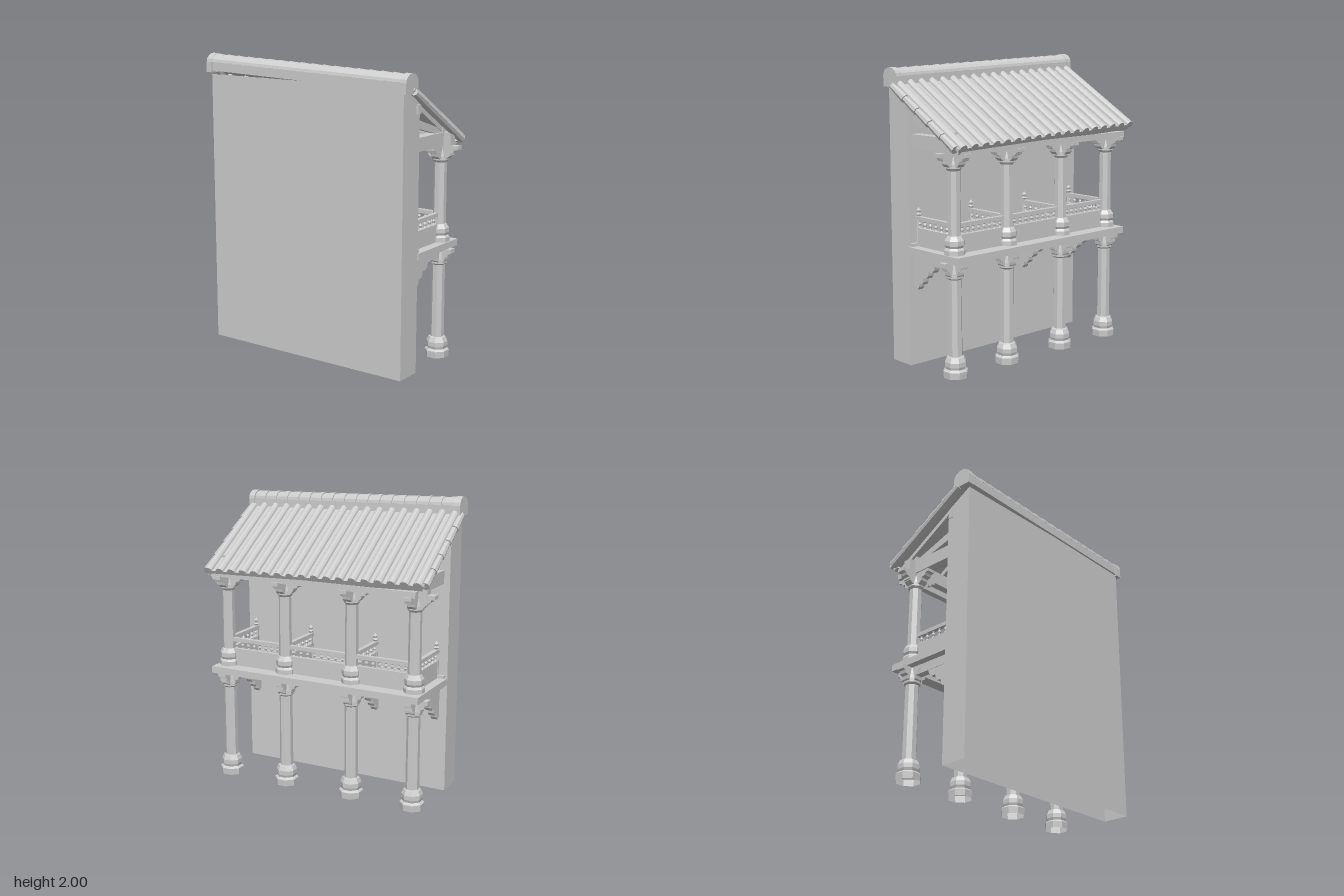
import * as THREE from 'three';

const stone = new THREE.MeshStandardMaterial({ color: 0xcccccc, flatShading: true, side: THREE.DoubleSide });
stone.name = 'pale grey';

function add(parent, name, geometry, x = 0, y = 0, z = 0) {
  const mesh = new THREE.Mesh(geometry, stone);
  mesh.name = name;
  mesh.position.set(x, y, z);
  parent.add(mesh);
  return mesh;
}

function group(parent, name, x = 0, y = 0, z = 0) {
  const g = new THREE.Group();
  g.name = name;
  g.position.set(x, y, z);
  parent.add(g);
  return g;
}

const box = (w, h, d) => new THREE.BoxGeometry(w, h, d);
const lathe = (pts, sides = 8) =>
  new THREE.LatheGeometry(pts.map(([r, y]) => new THREE.Vector2(r, y)), sides).rotateY(Math.PI / 8);

// Outline in (z, y), extruded along x and centred on it
function sideProfile(pts, width) {
  const shape = new THREE.Shape(pts.map(([z, y]) => new THREE.Vector2(z, y)));
  return new THREE.ExtrudeGeometry(shape, { depth: width, bevelEnabled: false })
    .rotateY(-Math.PI / 2).translate(width / 2, 0, 0);
}

// Crossed, stepped arms on top of a column
function crossCapital(parent, x, y, z, reach, height) {
  const g = group(parent, 'capital', x, y, z);
  const half = [[0.4, 0], [0.55, 0.2], [0.58, 0.42], [0.78, 0.5], [0.82, 0.68], [1, 0.74], [1, 1]]
    .map(([r, h]) => [r * reach, h * height]);
  const outline = [...half, ...half.map(([r, h]) => [-r, h]).reverse()];
  const geometry = sideProfile(outline, 0.055);
  add(g, 'capitalArm', geometry);
  add(g, 'capitalArm', geometry).rotation.y = Math.PI / 2;
}

// Solid panel, small balusters and handrail, running along x
function balustrade(parent, length, count, x, z, turn = 0) {
  const g = group(parent, 'balustrade', x, 0.8, z);
  g.rotation.y = turn;
  add(g, 'railPanel', box(length, 0.12, 0.025), 0, 0.06, 0);
  add(g, 'handrail', box(length, 0.026, 0.03), 0, 0.182, 0);
  const geometry = lathe([[0.011, 0], [0.006, 0.012], [0.012, 0.026], [0.006, 0.04], [0.011, 0.05]], 6);
  for (let i = 0; i < count; i++) {
    add(g, 'baluster', geometry, ((i + 0.5) / count - 0.5) * length, 0.12, 0);
  }
}

function buildWall(model) {
  const geometry = box(1.542, 1.86, 0.185).translate(0, 0.93, 0);
  const p = geometry.attributes.position;
  for (let i = 0; i < p.count; i++) {
    if (p.getY(i) > 1 && p.getZ(i) < 0) p.setY(i, 1.76);
  }
  // the underside is open
  const index = Array.from(geometry.index.array);
  index.splice(18, 6);
  geometry.setIndex(index);
  geometry.clearGroups();
  add(model, 'wall', geometry, -0.005, 0, 0.267);
}

function buildVeranda(model) {
  const columnX = [-0.7, -0.25, 0.25, 0.7];
  const cz = -0.2;

  add(model, 'floorSlab', box(1.55, 0.046, 0.49), 0, 0.777, -0.068);
  add(model, 'wallSkirting', box(1.52, 0.02, 0.03), 0, 0.81, 0.165);
  add(model, 'floorEdgeBeam', box(1.45, 0.03, 0.05), 0, 0.74, cz);

  const lower = lathe([[0.08, 0], [0.083, 0.045], [0.066, 0.058], [0.072, 0.075], [0.072, 0.105],
    [0.058, 0.135], [0.046, 0.14], [0.044, 0.64], [0.056, 0.65], [0.056, 0.68], [0.046, 0.75]]);
  const upper = lathe([[0.07, 0.8], [0.07, 0.83], [0.058, 0.845], [0.066, 0.86], [0.066, 0.89],
    [0.05, 0.915], [0.044, 0.92], [0.042, 1.33], [0.054, 1.345], [0.054, 1.37], [0.044, 1.42]]);
  const bracket = sideProfile([[0.175, 0.52], [0.15, 0.51], [0.135, 0.53], [0.13, 0.555], [0.105, 0.55],
    [0.09, 0.57], [0.085, 0.6], [0.055, 0.6], [0.04, 0.62], [0.035, 0.645], [0, 0.645],
    [-0.02, 0.665], [-0.03, 0.695], [0.175, 0.695]], 0.045);
  const post = lathe([[0.016, 0.8], [0.014, 1.0], [0.02, 1.01], [0.011, 1.02], [0.018, 1.035], [0, 1.055]], 6);

  for (const x of columnX) {
    add(model, 'lowerColumn', lower, x, 0, cz);
    add(model, 'upperColumn', upper, x, 0, cz);
    crossCapital(model, x, 0.65, cz, 0.105, 0.105);
    crossCapital(model, x, 1.355, cz, 0.14, 0.09);
    add(model, 'roofStrut', box(0.06, 0.14, 0.06), x, 1.5, cz);
    balustrade(model, 0.33, 6, x, 0.01, Math.PI / 2);
    add(model, 'railPost', post, x, 0, 0.155);
    add(model, 'floorJoist', box(0.05, 0.062, 0.46), x, 0.724, -0.055);
    if (x !== 0.25) add(model, 'wallBracket', bracket, x);
  }
  for (let i = 0; i < 3; i++) {
    const span = columnX[i + 1] - columnX[i];
    balustrade(model, span - 0.08, 8, columnX[i] + span / 2, cz);
  }

  // Beams tying the column heads together and back to the wall
  add(model, 'headBeam', box(1.56, 0.09, 0.05), 0, 1.485, cz);
  add(model, 'eavePurlin', box(1.5, 0.04, 0.045), 0, 1.46, -0.305);
  add(model, 'wallPurlin', box(1.56, 0.06, 0.035), 0, 1.72, 0.195);
  for (const side of [-1, 1]) {
    add(model, 'tieBeam', box(0.07, 0.09, 0.375), side * 0.7, 1.485, -0.012);
    add(model, 'slopingStrut', sideProfile([[0.175, 1.6], [0.175, 1.66], [-0.17, 1.55], [-0.17, 1.51]], 0.04), side * 0.7);
    add(model, 'beamEnd', box(0.035, 0.15, 0.055), side * 0.77, 1.455, cz);
  }
}

function buildRoof(model) {
  const roof = group(model, 'roof', 0, 1.9, 0);
  roof.rotation.z = -0.03;

  // Tiled slope: -z runs down towards the eave
  const slope = group(roof, 'roofSlope', 0, 0.014, 0.27);
  slope.rotation.x = -0.54;
  add(slope, 'roofDeck', box(1.6, 0.022, 0.745), 0, -0.043, -0.372);
  const rib = new THREE.CylinderGeometry(0.03, 0.027, 0.747, 6, 1, false, -Math.PI / 2, Math.PI).rotateX(-Math.PI / 2);
  for (let i = 0; i < 18; i++) {
    add(slope, 'tileRib', rib, -0.765 + i * 0.09, -0.033, -0.375);
  }
  const rafter = box(0.03, 0.03, 0.66);
  for (let i = 0; i < 11; i++) add(slope, 'rafter', rafter, -0.72 + i * 0.144, -0.068, -0.4);
  add(slope, 'eaveBoard', box(1.56, 0.03, 0.03), 0, -0.066, -0.72);

  // Overlapping tiles down both sloping edges
  const verge = new THREE.CylinderGeometry(0.03, 0.022, 0.15, 8).rotateX(-Math.PI / 2);
  for (const side of [-1, 1]) {
    for (let i = 0; i < 5; i++) add(slope, 'vergeTile', verge, side * 0.797, -0.055, -0.09 - i * 0.138);
  }

  // Ridge: base band, overlapping barrel tiles and end caps
  add(roof, 'ridgeBase', box(1.57, 0.06, 0.122), -0.003, -0.008, 0.312);
  const barrel = (r1, r2, length) => new THREE.CylinderGeometry(r2, r1, length, 8, 1, false, Math.PI, Math.PI)
    .rotateZ(-Math.PI / 2).scale(1, 0.8, 1);
  const tile = barrel(0.066, 0.058, 0.089);
  for (let i = 0; i < 17; i++) add(roof, 'ridgeTile', tile, -0.717 + i * 0.089, 0.02, 0.312);
  const cap = barrel(0.069, 0.069, 0.044);
  for (const x of [-0.783, 0.773]) {
    add(roof, 'ridgeCap', cap, x, 0.02, 0.312);
    add(roof, 'ridgeCapBase', box(0.044, 0.07, 0.138), x, -0.015, 0.312);
  }
}

export function createModel() {
  const root = new THREE.Group();
  root.name = 'verandaFacade';
  const model = group(root, 'building');
  model.rotation.y = -0.039;
  buildWall(model);
  buildVeranda(model);
  buildRoof(model);
  return root;
}
